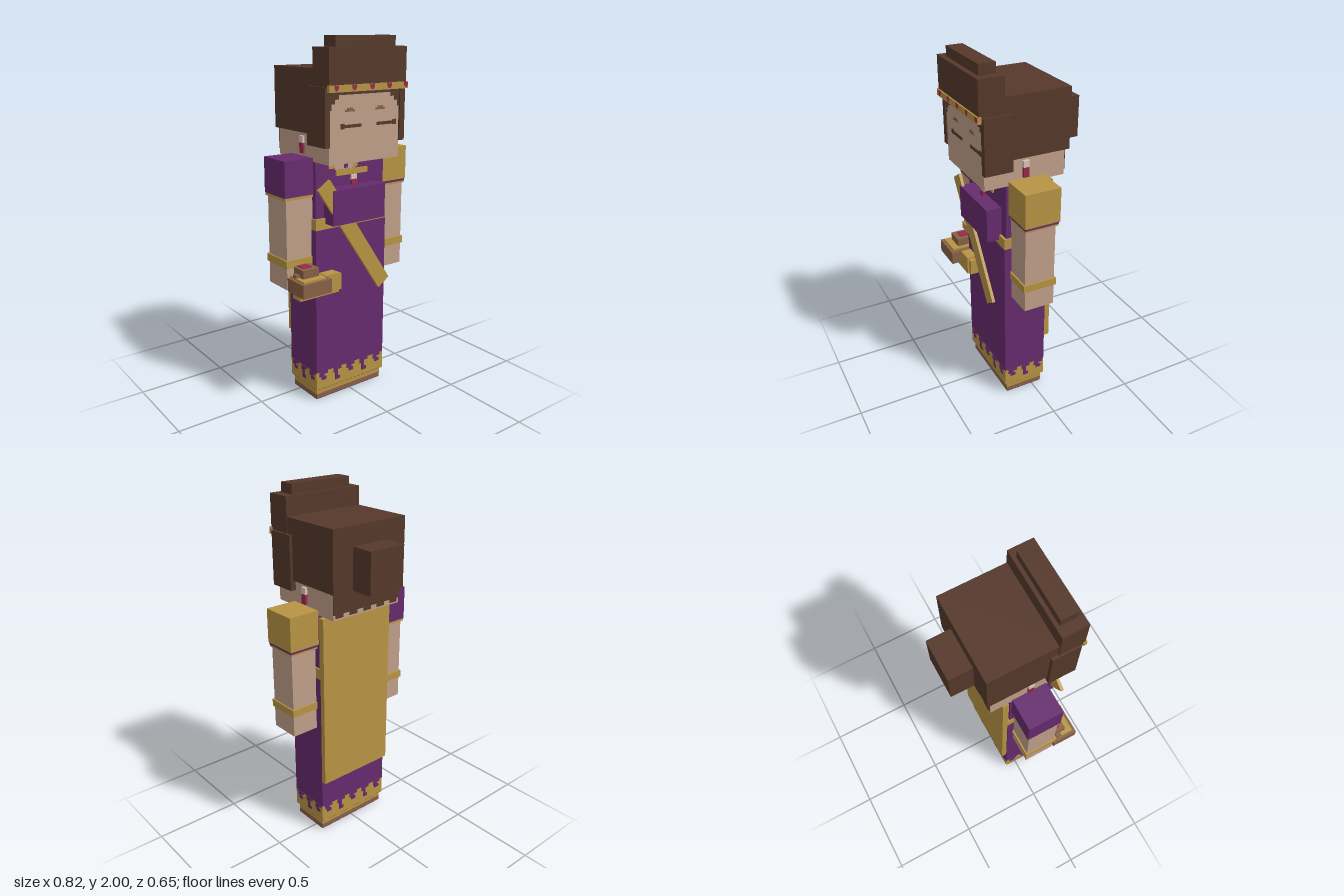
import * as THREE from 'three';

const mat = (name, color) => {
  const m = new THREE.MeshStandardMaterial({ color });
  m.name = name;
  return m;
};

export function createModel() {
  const root = new THREE.Group();
  root.name = 'robedFigure';
  const purple = mat('purpleCloth', 0x662b6e);
  const gold = mat('gold', 0xb89444);
  const skin = mat('skin', 0xbf9f88);
  const hair = mat('darkBrownHair', 0x55382a);
  const brown = mat('lightBrown', 0x876146);
  const red = mat('redGem', 0x98294a);
  const pale = mat('pale', 0xd9c6b8);

  // Box from its limits on each axis
  function box(name, m, x0, x1, y0, y1, z0, z1, parent = root) {
    const mesh = new THREE.Mesh(new THREE.BoxGeometry(x1 - x0, y1 - y0, z1 - z0), m);
    mesh.position.set((x0 + x1) / 2, (y0 + y1) / 2, (z0 + z1) / 2);
    mesh.name = name;
    parent.add(mesh);
    return mesh;
  }
  // Thin plate facing +z from an outline
  function plate(name, m, pts, z, parent = root) {
    const shape = new THREE.Shape(pts.map(([x, y]) => new THREE.Vector2(x, y)));
    const mesh = new THREE.Mesh(new THREE.ExtrudeGeometry(shape, { depth: 0.003, bevelEnabled: false }), m);
    mesh.position.z = z;
    mesh.name = name;
    parent.add(mesh);
    return mesh;
  }

  // Feet and robe
  box('sole', brown, -0.235, 0.225, 0.003, 0.03, -0.06, 0.165);
  box('soleBottom', purple, -0.235, 0.225, 0, 0.003, -0.06, 0.165);
  box('underHem', gold, -0.235, 0.225, 0.03, 0.07, -0.06, 0.165);
  box('hem', gold, -0.245, 0.235, 0.065, 0.17, -0.075, 0.18);
  box('hemUnderside', purple, -0.243, 0.233, 0.062, 0.065, -0.073, 0.178);
  box('skirt', purple, -0.245, 0.235, 0.17, 1.0, -0.075, 0.18);
  box('belt', gold, -0.243, 0.235, 1.0, 1.06, -0.075, 0.18);
  box('torso', purple, -0.235, 0.225, 1.0, 1.365, -0.06, 0.165);
  box('chestFold', purple, -0.18, 0.17, 1.03, 1.22, 0.16, 0.25);
  box('cape', gold, -0.24, 0.235, 0.345, 1.355, -0.105, -0.07);

  // Curled purple pattern on each side of the hem
  function hemSide(width, count, x, z, turn) {
    const side = new THREE.Group();
    side.name = 'hemPattern';
    const step = width / count;
    for (let i = 0; i < count; i++) {
      const a = -width / 2 + i * step + 0.02;
      const low = i % 2 ? 0.095 : 0.12;
      plate('hemCurl', purple, [
        [a, 0.17], [a, 0.14], [a + 0.012, 0.14], [a + 0.012, low], [a + 0.045, low],
        [a + 0.045, low + 0.02], [a + 0.032, low + 0.02], [a + 0.032, 0.155],
        [a + 0.055, 0.155], [a + 0.055, 0.17],
      ], 0, side);
    }
    side.position.set(x, 0, z);
    side.rotation.y = turn;
    root.add(side);
  }
  hemSide(0.48, 5, -0.005, 0.18, 0);
  hemSide(0.48, 5, -0.005, -0.075, Math.PI);
  hemSide(0.255, 3, 0.235, 0.0525, Math.PI / 2);
  hemSide(0.255, 3, -0.245, 0.0525, -Math.PI / 2);

  // Diagonal sash
  const sash = box('sash', gold, -0.37, 0.37, -0.044, 0.044, 0.229, 0.246);
  sash.position.set(-0.029, 0.95, 0.2375);
  sash.rotation.z = Math.atan2(-0.613, 0.412);

  // Neckline and necklace
  plate('neckline', skin, [
    [-0.15, 1.365], [-0.15, 1.335], [-0.11, 1.335], [-0.11, 1.31], [0.02, 1.31],
    [0.02, 1.335], [0.05, 1.335], [0.05, 1.365],
  ], 0.165);
  box('neckCord', purple, -0.05, -0.025, 1.315, 1.365, 0.166, 0.17);
  box('collarTrim', gold, -0.15, -0.11, 1.32, 1.337, 0.165, 0.17);
  box('collarTrim', gold, 0.01, 0.04, 1.315, 1.337, 0.165, 0.17);
  box('necklace', gold, -0.11, 0.1, 1.28, 1.31, 0.172, 0.182);
  box('pendantTop', pale, -0.02, 0.018, 1.25, 1.28, 0.186, 0.196);
  box('pendantGem', red, -0.02, 0.018, 1.225, 1.255, 0.188, 0.2);

  // Arms, sleeves and bracelets
  box('leftArm', skin, 0.235, 0.392, 0.69, 1.19, -0.035, 0.14);
  box('leftSleeve', gold, 0.225, 0.408, 1.2, 1.39, -0.053, 0.15);
  box('leftSleeveBand', purple, 0.227, 0.404, 1.186, 1.2, -0.049, 0.146);
  box('leftSleeveTrim', gold, 0.228, 0.402, 1.175, 1.186, -0.047, 0.144);
  box('leftBracelet', gold, 0.23, 0.4, 0.813, 0.855, -0.044, 0.149);
  box('rightArm', skin, -0.402, -0.238, 0.69, 1.19, -0.035, 0.14);
  box('rightSleeve', purple, -0.412, -0.23, 1.193, 1.385, -0.05, 0.147);
  box('rightSleeveTrim', gold, -0.41, -0.232, 1.178, 1.193, -0.047, 0.144);
  box('rightBracelet', gold, -0.41, -0.236, 0.813, 0.855, -0.044, 0.149);

  // Object held in the right hand
  box('heldHandle', gold, -0.387, -0.135, 0.655, 0.764, 0.17, 0.24);
  box('heldHandleEnd', gold, -0.135, -0.11, 0.662, 0.752, 0.182, 0.23);
  box('heldBase', brown, -0.406, -0.225, 0.69, 0.765, 0.15, 0.298);
  box('heldPlate', gold, -0.39, -0.25, 0.765, 0.775, 0.15, 0.28);
  box('heldPeg', brown, -0.39, -0.365, 0.77, 0.79, 0.175, 0.207);
  box('heldBlock', brown, -0.367, -0.267, 0.77, 0.82, 0.15, 0.24);
  box('heldGem', red, -0.348, -0.294, 0.82, 0.825, 0.157, 0.212);

  // Head and face
  box('head', skin, -0.235, 0.225, 1.365, 1.8, -0.175, 0.285);
  for (const s of [-1, 1]) {
    const c = 0.02 + s * 0.1175;
    box('eye', hair, c - s * 0.02 - 0.067 + s * 0.02, c + 0.067, 1.547, 1.563, 0.284, 0.289);
    box('eyeTip', hair, c + s * 0.055 - 0.012, c + s * 0.055 + 0.012, 1.543, 1.57, 0.284, 0.288);
    const b = -0.005 + s * 0.1;
    box('eyebrow', brown, b - 0.03, b + 0.03, 1.628, 1.638, 0.284, 0.289);
    box('eyebrowTop', brown, b - 0.018, b + 0.018, 1.636, 1.647, 0.284, 0.288);
  }
  const arch = [[0.23, 1.74], [0.23, 1.64], [0.217, 1.64], [0.217, 1.67], [0.195, 1.67],
    [0.195, 1.692], [0.17, 1.692], [0.17, 1.713]];
  plate('hairline', hair, [
    ...arch.map(([x, y]) => [-x - 0.005, y]),
    ...arch.slice().reverse().map(([x, y]) => [x - 0.005, y]),
  ], 0.285);

  // Hair, stepped nape and bun
  box('backHair', hair, -0.247, 0.24, 1.51, 1.842, -0.195, 0.2);
  box('bun', hair, -0.115, 0.11, 1.51, 1.737, -0.325, -0.19);
  box('nape', hair, -0.235, 0.225, 1.395, 1.51, -0.179, -0.174);
  for (let i = 0; i < 5; i++) {
    const x = -0.22 + i * 0.095;
    box('napeStep', hair, x, x + 0.05, 1.375, 1.4, -0.179, -0.174);
  }
  box('rightSideHair', hair, -0.265, -0.233, 1.455, 1.755, 0.137, 0.293);
  box('leftSideHair', hair, 0.223, 0.257, 1.455, 1.755, 0.137, 0.295);
  box('frontHair', hair, -0.255, 0.243, 1.74, 1.945, 0.175, 0.315);
  box('topHair', hair, -0.197, 0.19, 1.94, 2.0, 0.195, 0.287);

  // Jewelled headband
  box('headband', gold, -0.26, 0.25, 1.73, 1.765, 0.303, 0.323);
  for (const x of [-0.217, -0.105, 0.01, 0.123, 0.235]) {
    box('headbandGem', red, x - 0.013, x + 0.013, 1.745, 1.765, 0.32, 0.326);
    box('headbandGemTip', red, x - 0.006, x + 0.006, 1.737, 1.747, 0.32, 0.326);
  }

  // Earrings
  for (const [x0, x1] of [[-0.247, -0.235], [0.225, 0.24]]) {
    box('earringTop', pale, x0, x1, 1.455, 1.492, 0.037, 0.07);
    box('earringGem', red, x0, x1, 1.4, 1.455, 0.037, 0.07);
  }
  return root;
}
